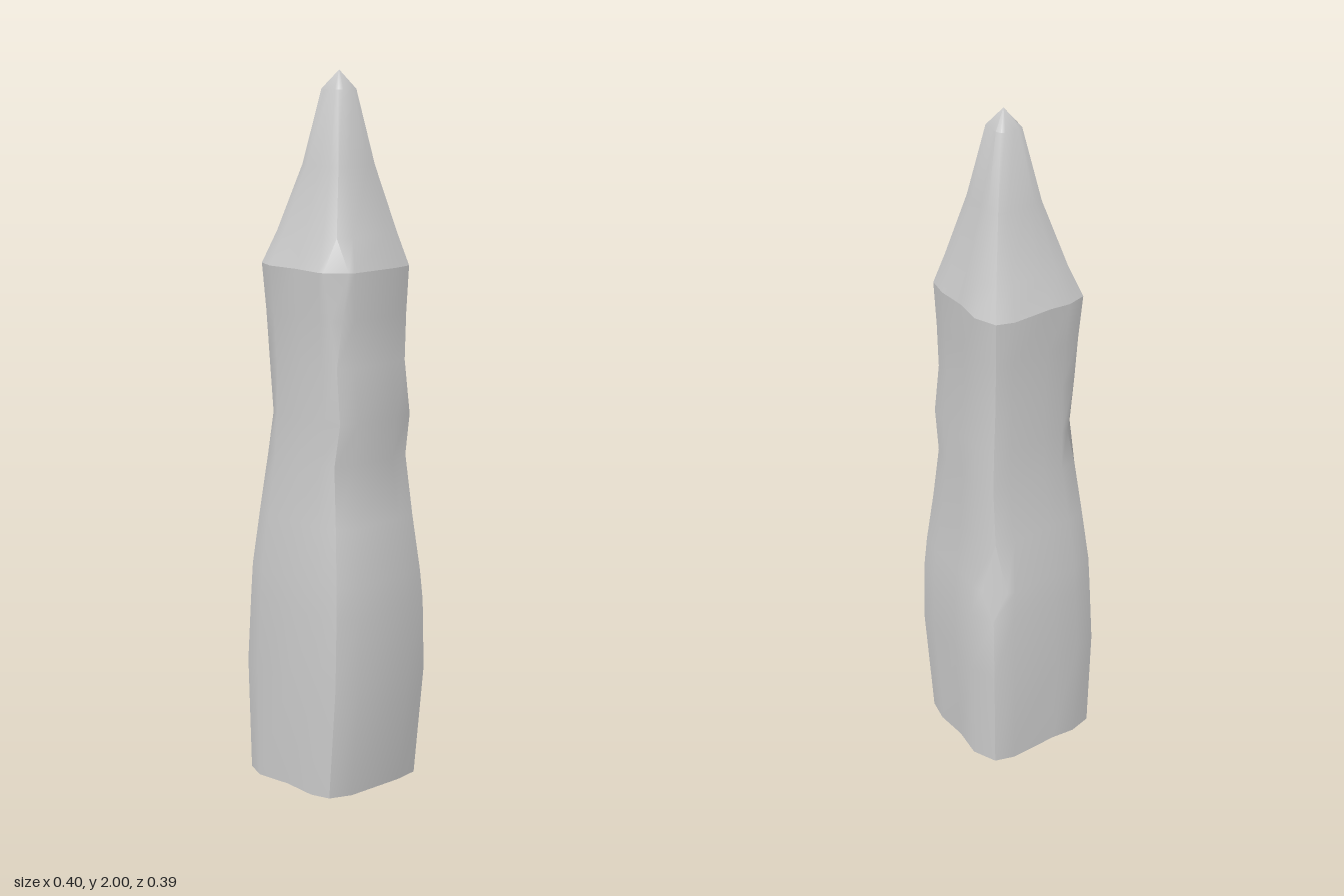
import * as THREE from 'three';
import { toCreasedNormals } from 'three/addons/utils/BufferGeometryUtils.js';

// Outline of the post in the x,z plane, scaled to -1..1, counterclockwise from above.
// A third entry names a corner that gets chipped.
const OUTLINE = [
  [-0.92, 0.9, 'frontLeft'], [-0.57, 1], [0, 0.88], [0.57, 0.86],
  [0.87, 0.74, 'frontRight'], [1, 0.41], [1, -0.5],
  [0.94, -0.87], [0.57, -0.95], [0.05, -0.93], [-0.45, -1],
  [-0.84, -0.85, 'backLeft'], [-0.95, -0.55], [-0.95, 0.2], [-1, 0.56],
];

// Levels: height, x min, x max, z min, z max, chip depths per corner
const SHAFT = [
  [0, -0.19, 0.165, -0.185, 0.195],
  [0.33, -0.2, 0.197, -0.192, 0.198],
  [0.53, -0.192, 0.193, -0.188, 0.19],
  [0.62, -0.187, 0.19, -0.178, 0.186, { backLeft: 0.6 }],
  [0.78, -0.168, 0.17, -0.162, 0.17],
  [0.95, -0.147, 0.143, -0.155, 0.152],
  [1.07, -0.147, 0.165, -0.15, 0.148, { frontLeft: 0.55 }],
  [1.22, -0.146, 0.148, -0.144, 0.145],
  [1.35, -0.152, 0.15, -0.147, 0.151, { frontRight: 0.35 }],
  [1.48, -0.16, 0.156, -0.152, 0.16, { frontRight: 0.7 }],
];
const TIP = [
  SHAFT[SHAFT.length - 1],
  [1.57, -0.127, 0.129, -0.126, 0.127],
  [1.75, -0.073, 0.08, -0.079, 0.073],
  [1.95, -0.033, 0.04, -0.04, 0.033],
  [2, 0.004, 0.004, -0.004, -0.004],
];

// One cross-section; every chippable corner is split into two points
function ring([y, x0, x1, z0, z1, chips = {}]) {
  const place = ([u, v]) => new THREE.Vector3(
    (x0 + x1) / 2 + u * (x1 - x0) / 2, y, (z0 + z1) / 2 + v * (z1 - z0) / 2);
  const n = OUTLINE.length;
  return OUTLINE.flatMap((p, i) => {
    const corner = place(p);
    if (!p[2]) return [corner];
    const depth = chips[p[2]] ?? 0;
    return [OUTLINE[(i + n - 1) % n], OUTLINE[(i + 1) % n]]
      .map((q) => corner.clone().lerp(place(q), depth));
  });
}

// Skin between the cross-sections, leaving out collapsed triangles
function loft(levels) {
  const rings = levels.map(ring);
  const positions = [];
  const area = new THREE.Triangle();
  const addTriangle = (a, b, c) => {
    if (area.set(a, b, c).getArea() > 1e-7) {
      for (const p of [a, b, c]) positions.push(p.x, p.y, p.z);
    }
  };
  for (let j = 0; j < rings.length - 1; j++) {
    const low = rings[j], high = rings[j + 1];
    for (let i = 0; i < low.length; i++) {
      const k = (i + 1) % low.length;
      addTriangle(low[i], low[k], high[k]);
      addTriangle(low[i], high[k], high[i]);
    }
  }
  const geometry = new THREE.BufferGeometry();
  geometry.setAttribute('position', new THREE.Float32BufferAttribute(positions, 3));
  return toCreasedNormals(geometry, THREE.MathUtils.degToRad(38));
}

export function createModel() {
  const group = new THREE.Group();
  group.name = 'woodenStake';
  const material = new THREE.MeshStandardMaterial({ color: 0xcccccc, side: THREE.DoubleSide });
  // The shaft is open below; the separate point keeps a crisp edge at the shoulder
  for (const [name, levels] of [['shaft', SHAFT], ['point', TIP]]) {
    const mesh = new THREE.Mesh(loft(levels), material);
    mesh.name = name;
    group.add(mesh);
  }
  return group;
}
